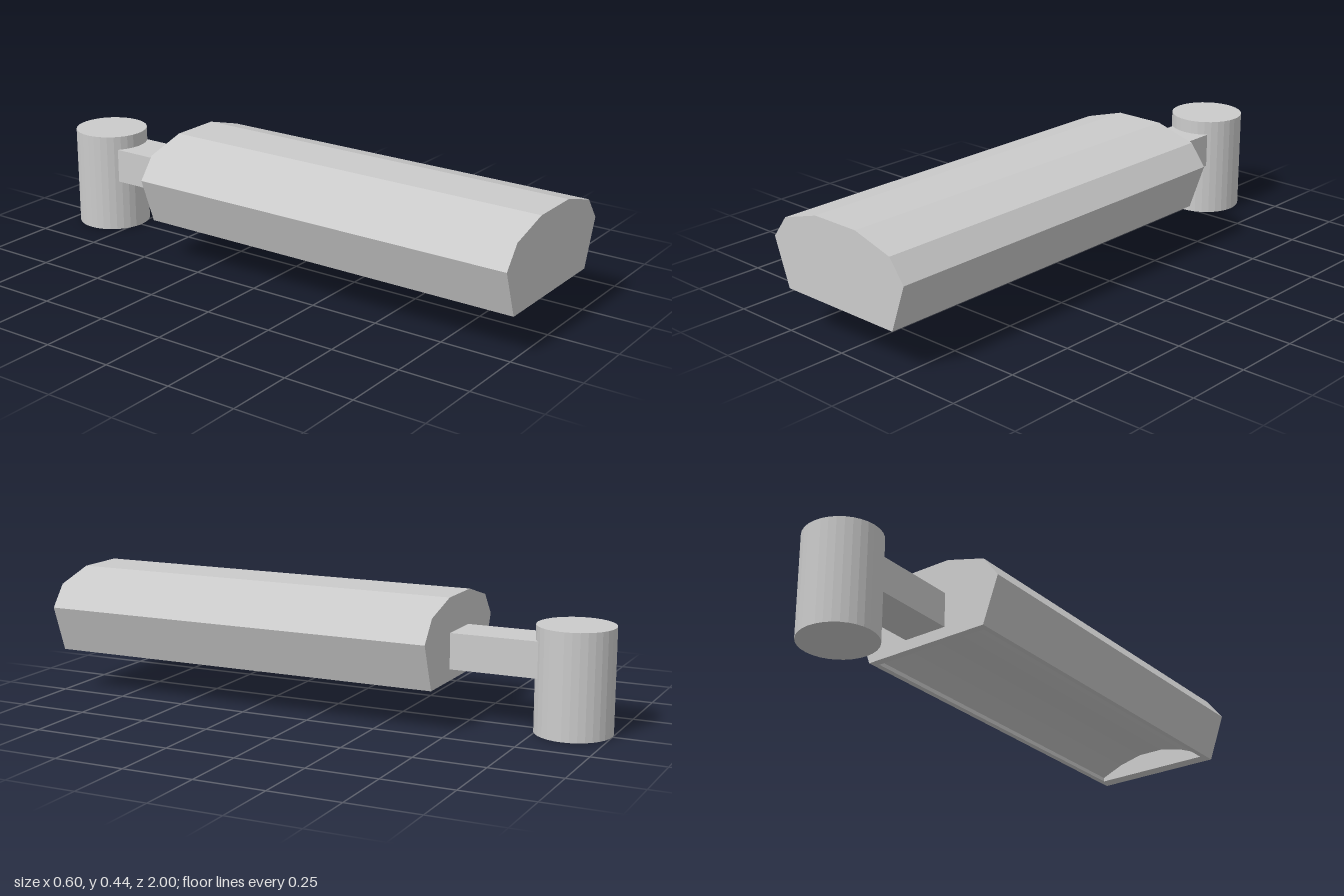
import * as THREE from 'three';

const material = new THREE.MeshStandardMaterial({ color: 0xcccccc, flatShading: true });

// Half outlines (x >= 0), listed from the bottom edge up to the crown
const shell = [[0.243, 0.15], [0.302, 0.315], [0.243, 0.393], [0.092, 0.437]];
const recess = [[0.223, 0.15], [0.223, 0.165], [0.14, 0.2], [0.05, 0.222]];

// Complete a half outline by mirroring it: right bottom, over the top, left bottom
const mirror = (half) => [...half, ...half.map(([x, y]) => [-x, y]).reverse()];

function add(parent, name, geometry, x = 0, y = 0, z = 0) {
  const mesh = new THREE.Mesh(geometry, material);
  mesh.name = name;
  mesh.position.set(x, y, z);
  parent.add(mesh);
}

function extrude(points, depth) {
  const shape = new THREE.Shape(points.map(([x, y]) => new THREE.Vector2(x, y)));
  return new THREE.ExtrudeGeometry(shape, { depth, bevelEnabled: false });
}

export function createModel() {
  const model = new THREE.Group();
  model.name = 'lampHead';

  // Housing: hollowed middle closed by a solid plate at each end
  const housing = new THREE.Group();
  housing.name = 'housing';
  model.add(housing);
  const back = -0.455, front = 1, backWall = 0.03, frontWall = 0.05;
  const outer = mirror(shell);
  const hollow = [...outer, ...mirror(recess).reverse()];
  add(housing, 'hollowShell', extrude(hollow, front - back - backWall - frontWall), 0, 0, back + backWall);
  add(housing, 'backPlate', extrude(outer, backWall), 0, 0, back);
  add(housing, 'frontPlate', extrude(outer, frontWall), 0, 0, front - frontWall);

  // Arm running from the housing into the pivot
  add(model, 'arm', new THREE.BoxGeometry(0.166, 0.125, 0.41), 0, 0.2525, -0.655);

  // Upright pivot post
  add(model, 'pivotPost', new THREE.CylinderGeometry(0.133, 0.133, 0.365, 32), 0, 0.1825, -0.867);

  return model;
}
